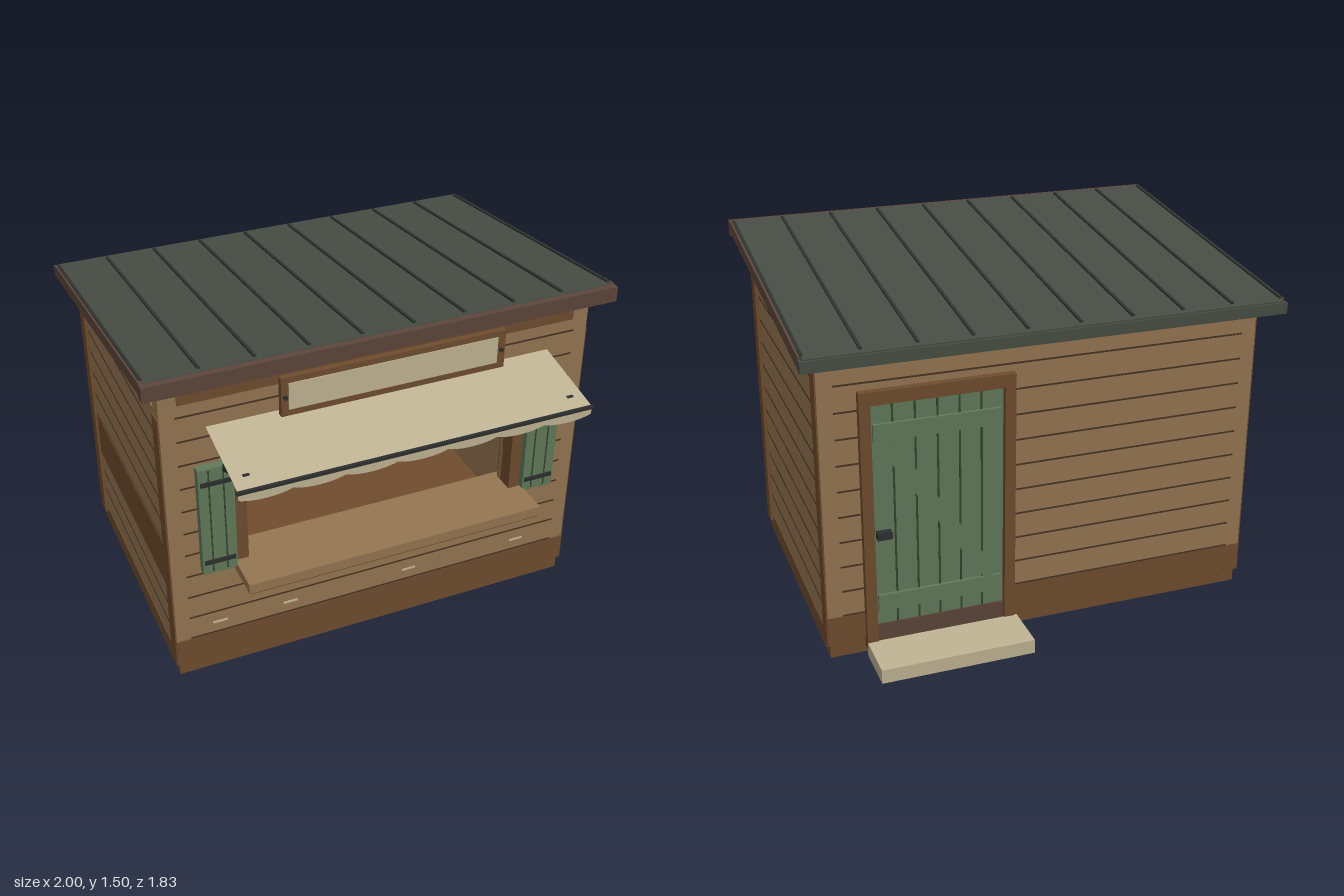
import * as THREE from 'three';

const mat = (name, color) => {
  const m = new THREE.MeshStandardMaterial({ color, side: THREE.DoubleSide });
  m.name = name;
  return m;
};

export function createModel() {
  const M = {
    wood: mat('boardWood', 0x957651),
    trim: mat('trimWood', 0x6f4c2e),
    groove: mat('grooveBrown', 0x453322),
    fascia: mat('fasciaBrown', 0x5c463b),
    roof: mat('roofSheet', 0x474e45),
    seam: mat('roofSeam', 0x2f3530),
    green: mat('greenPaint', 0x607a59),
    darkGreen: mat('darkGreen', 0x33442f),
    cream: mat('cream', 0xc0b494),
    metal: mat('darkMetal', 0x2c2f2d),
  };
  const root = new THREE.Group();
  root.name = 'kiosk';

  const add = (name, geo, m, parent = root) => {
    const mesh = new THREE.Mesh(geo, m);
    mesh.name = name;
    parent.add(mesh);
    return mesh;
  };
  // Box given by its limits on each axis
  const box = (name, m, x0, x1, y0, y1, z0, z1, parent = root) => {
    const mesh = add(name, new THREE.BoxGeometry(x1 - x0, y1 - y0, z1 - z0), m, parent);
    mesh.position.set((x0 + x1) / 2, (y0 + y1) / 2, (z0 + z1) / 2);
    return mesh;
  };
  const rectPath = (P, x0, x1, y0, y1) => {
    const p = new P();
    p.moveTo(x0, y0); p.lineTo(x1, y0); p.lineTo(x1, y1); p.lineTo(x0, y1); p.closePath();
    return p;
  };
  // Wall in the xy plane with one rectangular hole
  const wall = (name, m, outer, hole, z0, z1) => {
    const s = rectPath(THREE.Shape, ...outer);
    s.holes.push(rectPath(THREE.Path, ...hole));
    add(name, new THREE.ExtrudeGeometry(s, { depth: z1 - z0, bevelEnabled: false }), m).position.z = z0;
  };

  // Base and floor
  box('base', M.trim, -0.915, 0.915, 0, 0.085, -0.665, 0.545);

  // Front and back walls with openings
  wall('frontWall', M.wood, [-0.922, 0.922, 0.08, 1.435], [-0.6, 0.6, 0.54, 1.065], 0.485, 0.555);
  wall('backWall', M.wood, [-0.922, 0.922, 0.08, 1.295], [0.17, 0.735, 0.081, 1.1], -0.678, -0.62);
  box('frontSkirt', M.trim, -0.924, 0.924, 0.075, 0.19, 0.5, 0.559);
  box('backSkirtLong', M.trim, -0.924, 0.14, 0.075, 0.19, -0.682, -0.64);
  box('backSkirtShort', M.trim, 0.77, 0.924, 0.075, 0.19, -0.682, -0.64);
  box('innerSkirting', M.fascia, -0.86, 0.16, 0.085, 0.185, -0.62, -0.612);
  box('frontHeader', M.trim, -0.85, 0.85, 1.34, 1.434, 0.54, 0.56);

  // Board grooves, shared spacing on all walls
  const grooveYs = Array.from({ length: 11 }, (_, i) => 0.193 + i * 0.1092);
  const g = 0.0035;
  const line = (y, x0, x1, z) => box('boardGroove', M.groove, x0, x1, y - g, y + g, z - 0.002, z + 0.002);
  grooveYs.forEach((y, i) => {
    if (y > 0.52 && y < 1.12) {
      line(y, -0.86, -0.65, 0.555);
      line(y, 0.65, 0.86, 0.555);
    } else line(y, -0.86, 0.86, 0.555);
    if (y < 1.15) {
      line(y, -0.86, 0.14, -0.678);
      line(y, 0.77, 0.86, -0.678);
    } else line(y, -0.86, 0.86, -0.678);
    if (i < 10) for (const s of [-1, 1]) {
      if (s < 0 && i === 3) continue;
      box('sideGroove', M.groove, s * 0.912 - 0.002, s * 0.912 + 0.002, y - g, y + g, -0.605, 0.48);
    }
  });

  // Side walls, corner posts and sloped gables
  for (const s of [-1, 1]) {
    const span = (a, b) => (s > 0 ? [a, b] : [-b, -a]);
    box('sideWall', M.wood, ...span(0.86, 0.912), 0.085, 1.283, -0.64, 0.5);
    for (const [z0, z1] of [[0.48, 0.552], [-0.676, -0.605]])
      box('cornerPost', M.trim, ...span(0.86, 0.928), 0.06, 1.285, z0, z1);
    const tri = new THREE.Shape();
    tri.moveTo(0.5, 1.312); tri.lineTo(0.5, 1.437); tri.lineTo(-0.52, 1.314); tri.lineTo(-0.52, 1.312);
    const gable = add('gable', new THREE.ExtrudeGeometry(tri, { depth: 0.04, bevelEnabled: false }), M.wood);
    gable.rotation.y = -Math.PI / 2;
    gable.position.x = s > 0 ? 0.91 : -0.87;
  }
  box('sideBand', M.trim, -0.917, -0.911, 0.412, 0.63, -0.605, 0.48);

  // Sloped roof with standing seams
  const roof = new THREE.Group();
  roof.name = 'roof';
  roof.position.set(0, 1.417, -0.07);
  roof.rotation.x = -Math.atan(0.12);
  root.add(roof);
  box('roofSheet', M.roof, -0.985, 0.985, -0.045, 0, -0.71, 0.68, roof);
  for (let i = 0; i < 10; i++) {
    const x = -0.983 + i * 0.2184;
    box('roofSeam', M.seam, x - 0.006, x + 0.006, -0.002, 0.008, -0.685, 0.66, roof);
  }
  for (const s of [-1, 1])
    box('bargeBoard', M.fascia, s * 0.99 - 0.008, s * 0.99 + 0.008, -0.05, 0.002, -0.69, 0.68, roof);
  box('frontFascia', M.fascia, -0.998, 0.998, 1.43, 1.495, 0.595, 0.635);
  box('rearFascia', M.roof, -0.998, 0.998, 1.28, 1.327, -0.785, -0.745);

  // Serving window frame and counter
  for (const s of [-1, 1])
    box('windowJamb', M.trim, s * 0.625 - 0.025, s * 0.625 + 0.025, 0.56, 1.12, 0.48, 0.58);
  box('windowHead', M.trim, -0.65, 0.65, 1.06, 1.12, 0.48, 0.58);
  box('counter', M.wood, -0.66, 0.66, 0.52, 0.565, 0.45, 0.75);
  box('counterEdge', M.trim, -0.655, 0.655, 0.512, 0.522, 0.47, 0.745);
  for (const x of [-0.415, 0.41]) {
    const s = new THREE.Shape();
    s.moveTo(0.55, 0.345); s.lineTo(0.55, 0.39); s.lineTo(0.68, 0.513); s.lineTo(0.725, 0.513); s.lineTo(0.725, 0.495);
    const b = add('counterBracket', new THREE.ExtrudeGeometry(s, { depth: 0.036, bevelEnabled: false }), M.trim);
    b.rotation.y = -Math.PI / 2;
    b.position.x = x + 0.018;
  }

  // Shutters with strap hinges
  for (const s of [-1, 1]) {
    const shutter = new THREE.Group();
    shutter.name = 'shutter';
    shutter.position.set(s * 0.728, 0, 0);
    root.add(shutter);
    box('shutterPanel', M.green, -0.073, 0.073, 0.55, 1.058, 0.565, 0.603, shutter);
    for (const x of [-0.03, 0.03])
      box('shutterGroove', M.darkGreen, x - 0.003, x + 0.003, 0.56, 1.05, 0.601, 0.605, shutter);
    for (const y of [0.61, 0.99])
      box('strapHinge', M.metal, -0.065, 0.065, y - 0.009, y + 0.009, 0.603, 0.611, shutter);
    // Awning arm
    const arm = box('awningArm', M.metal, s * 0.685 - 0.013, s * 0.685 + 0.013, -0.013, 0.013, -0.142, 0.142);
    arm.position.set(s * 0.685, 1.1, 0.716);
    arm.rotation.x = -0.435;
  }

  // Awning cloth, front bar and scalloped valance
  const cloth = add('awningCloth', new THREE.PlaneGeometry(1.485, Math.hypot(0.36, 0.07)), M.cream);
  cloth.position.set(0, 1.185, 0.733);
  cloth.rotation.x = -Math.atan2(0.36, 0.07);
  box('awningBar', M.metal, -0.75, 0.75, 1.141, 1.154, 0.905, 0.918);
  const val = new THREE.Shape();
  const n = 7, w = 1.485 / n;
  val.moveTo(-0.7425, 1.145);
  val.lineTo(-0.7425, 1.115);
  for (let i = 0; i < n; i++) {
    const x = -0.7425 + i * w;
    val.bezierCurveTo(x + w * 0.25, 1.094, x + w * 0.75, 1.094, x + w, 1.115);
  }
  val.lineTo(0.7425, 1.145);
  add('awningValance', new THREE.ShapeGeometry(val), M.cream).position.z = 0.911;

  // Blank sign board with two bolts
  box('signFrame', M.trim, -0.475, 0.475, 1.257, 1.425, 0.636, 0.66);
  box('signPanel', M.cream, -0.445, 0.44, 1.285, 1.4, 0.657, 0.664);
  for (const x of [-0.458, 0.458]) {
    const bolt = add('signBolt', new THREE.CylinderGeometry(0.009, 0.009, 0.012, 10), M.metal);
    bolt.rotation.x = Math.PI / 2;
    bolt.position.set(x, 1.34, 0.663);
  }

  // Small pale slots low on the front
  for (const x of [-0.73, -0.415, 0.14, 0.675])
    box('paleSlot', M.cream, x - 0.032, x + 0.032, 0.241, 0.25, 0.554, 0.559);

  // Back door: frame, planks, rails, brace, handle
  for (const x of [0.14, 0.725]) box('doorJamb', M.trim, x, x + 0.045, 0.03, 1.145, -0.71, -0.612);
  box('doorHead', M.trim, 0.14, 0.77, 1.09, 1.145, -0.71, -0.612);
  box('threshold', M.fascia, 0.185, 0.725, 0.03, 0.13, -0.69, -0.612);
  box('doorPanel', M.green, 0.185, 0.725, 0.13, 1.09, -0.684, -0.63);
  for (let i = 1; i < 6; i++) {
    const x = 0.185 + i * 0.09;
    box('doorGroove', M.darkGreen, x - 0.004, x + 0.004, 0.13, 1.09, -0.686, -0.683);
  }
  for (const y of [0.23, 0.97]) box('doorRail', M.green, 0.195, 0.715, y - 0.035, y + 0.035, -0.698, -0.68);
  const brace = add('doorBrace', new THREE.BoxGeometry(0.06, 0.8, 0.015), M.green);
  brace.position.set(0.455, 0.6, -0.689);
  brace.rotation.z = -Math.atan2(0.44, 0.67);
  box('doorHandle', M.metal, 0.655, 0.715, 0.52, 0.55, -0.716, -0.68);

  // Door step
  box('doorStep', M.cream, 0.13, 0.77, 0.004, 0.064, -0.915, -0.705);

  return root;
}
